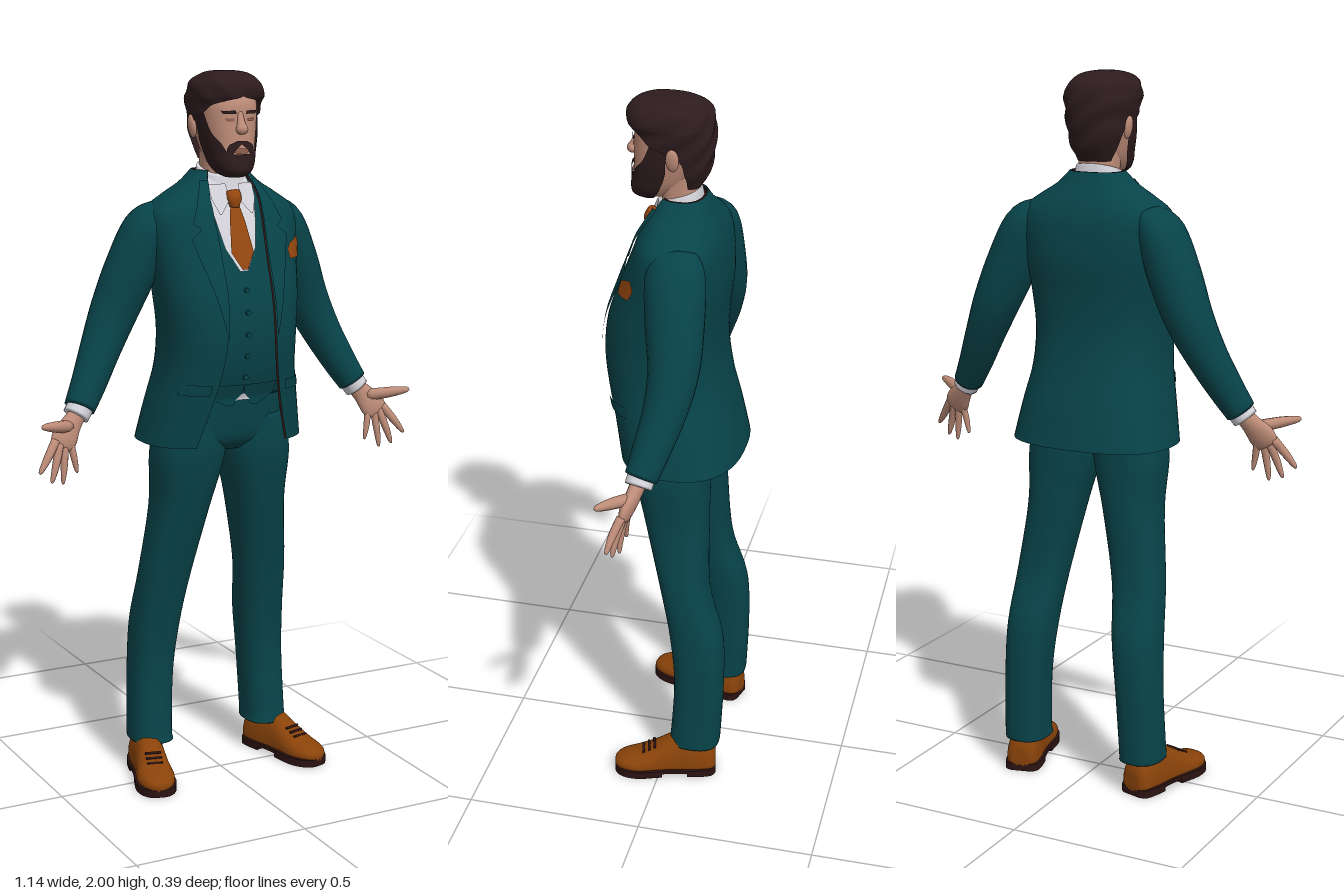
import * as THREE from 'three';

const mat = (name, color) => Object.assign(new THREE.MeshStandardMaterial({ color, side: THREE.DoubleSide }), { name });
const E = 0.8; // squareness of body sections
const TAU = Math.PI * 2;
const pw = (v) => Math.sign(v) * Math.abs(v) ** E;
const V = (x, y, z) => new THREE.Vector3(x, y, z);

// Catmull-Rom through the columns of a small table
function spline(rows, n = 5) {
  const out = [], at = (i) => rows[Math.max(0, Math.min(rows.length - 1, i))];
  for (let i = 0; i < rows.length - 1; i++) for (let k = 0; k < n; k++) {
    const t = k / n, [p, a, b, q] = [at(i - 1), at(i), at(i + 1), at(i + 2)];
    out.push(a.map((v, c) => {
      const cubic = 3 * (v - b[c]) + q[c] - p[c], square = 2 * p[c] - 5 * v + 4 * b[c] - q[c];
      return v + 0.5 * t * (b[c] - p[c] + t * (square + t * cubic));
    }));
  }
  return [...out, at(rows.length - 1)];
}
// Skin over rings of points, closed with caps or open
function loft(rings, closed = true) {
  const n = rings[0].length, pos = rings.flat().flatMap((p) => [p.x, p.y, p.z]), idx = [];
  const m = closed ? n : n - 1;
  for (let i = 0; i < rings.length - 1; i++) for (let j = 0; j < m; j++) {
    const a = i * n + j, b = i * n + (j + 1) % n;
    idx.push(a, b, b + n, a, b + n, a + n);
  }
  if (closed) for (const [i, flip] of [[0, true], [rings.length - 1, false]]) {
    const c = rings[i].reduce((s, p) => s.add(p), V(0, 0, 0)).divideScalar(n), k = pos.length / 3;
    pos.push(c.x, c.y, c.z);
    for (let j = 0; j < n; j++) {
      const a = i * n + j, b = i * n + (j + 1) % n;
      idx.push(...(flip ? [b, a, k] : [a, b, k]));
    }
  }
  const g = new THREE.BufferGeometry().setAttribute('position', new THREE.Float32BufferAttribute(pos, 3)).setIndex(idx);
  g.computeVertexNormals();
  return g;
}
// Horizontal section from a row [y, halfWidth, zFront, zBack, centreX], between two angles
function section([y, rx, zf, zb, cx = 0], a0 = 0, a1 = TAU, closed = true, off = 0, n = 40) {
  return Array.from({ length: n }, (_, j) => {
    const a = a0 + (a1 - a0) * j / (closed ? n : n - 1);
    return V(cx + (rx + off) * pw(Math.sin(a)), y, (zf + zb) / 2 + ((zf - zb) / 2 + off) * pw(Math.cos(a)));
  });
}
const body = (rows) => loft(spline(rows).map((r) => section(r)));
// Shell around a body, open between rows of [.., startDegrees, endDegrees]
const shell = (rows, off = 0) => loft(spline(rows, 4).map((r) => section(r.slice(0, 4), r[4] * TAU / 360, r[5] * TAU / 360, false, off)), false);
// Round limb along a path of rows [x, y, z, radius, depthRadius]
function limb(rows, n = 5, sides = 18) {
  const s = spline(rows, n), P = s.map((r) => V(r[0], r[1], r[2]));
  return loft(s.map((r, i) => {
    const T = P[Math.min(i + 1, P.length - 1)].clone().sub(P[Math.max(i - 1, 0)]).normalize();
    const N = V(0, 0, 1).addScaledVector(T, -T.z).normalize(), B = T.clone().cross(N);
    return Array.from({ length: sides }, (_, j) => {
      const a = j / sides * TAU;
      return P[i].clone().addScaledVector(B, r[3] * Math.sin(a)).addScaledVector(N, r[4] * Math.cos(a));
    });
  }));
}
// Thin panel lying on the front of a body; rows are [y, xLeft, xRight], going up
function panel(surface, rows, off) {
  const S = spline(surface, 8);
  const zAt = (x, y) => {
    const found = S.findIndex((r) => r[0] >= y), i = found < 0 ? S.length - 1 : Math.max(1, found);
    const t = THREE.MathUtils.clamp((y - S[i - 1][0]) / (S[i][0] - S[i - 1][0]), 0, 1);
    const [, rx, zf, zb] = S[i].map((v, c) => S[i - 1][c] + (v - S[i - 1][c]) * t);
    const u = Math.min(0.98, Math.abs(x) / rx);
    return (zf + zb) / 2 + (zf - zb) / 2 * (1 - u ** (2 / E)) ** (E / 2) + off;
  };
  return loft(rows.flatMap((r, i) => Array.from({ length: rows[i + 1] ? 4 : 1 }, (_, k) => {
    const [y, l, h] = r.map((v, c) => v + ((rows[i + 1] ?? r)[c] - v) * k / 4);
    return Array.from({ length: 7 }, (_, j) => { const x = l + (h - l) * j / 6; return V(x, y, zAt(x, y)); });
  })), false);
}
function mirrored(geo) {
  const g = geo.clone().scale(-1, 1, 1);
  const ix = g.index ? Array.from(g.index.array) : Array.from({ length: g.attributes.position.count }, (_, i) => i);
  for (let i = 0; i < ix.length; i += 3) [ix[i], ix[i + 1]] = [ix[i + 1], ix[i]];
  return g.setIndex(ix);
}

export function createModel() {
  const group = new THREE.Group();
  const teal = mat('suit teal', 0x07444a), hair = mat('dark brown hair', 0x2e1c1e), skin = mat('skin', 0xbf8d79);
  const shirt = mat('shirt white', 0xd6d5dc), rust = mat('tie rust', 0x95470f), leather = mat('shoe leather', 0x8a430a);
  const dark = mat('dark lining', 0x2b1312), lip = mat('shaded skin', 0x8f5f50);
  const add = (name, geo, m) => group.add(Object.assign(new THREE.Mesh(geo, m), { name }));
  const both = (name, geo, m) => { add(name + 'Left', geo, m); add(name + 'Right', mirrored(geo), m); };

  // Jacket: shell with an open front, and its lining
  const coat = [[0.99, 0.235, 0.15, -0.19], [1.1, 0.213, 0.168, -0.168], [1.2, 0.192, 0.188, -0.145], [1.3, 0.19, 0.197, -0.13],
    [1.4, 0.2, 0.185, -0.132], [1.5, 0.212, 0.15, -0.141], [1.59, 0.222, 0.115, -0.135], [1.635, 0.208, 0.098, -0.124],
    [1.67, 0.16, 0.08, -0.108], [1.7, 0.112, 0.065, -0.09], [1.735, 0.076, 0.045, -0.072]];
  const opening = [0.14, 0.108, 0.085, 0.073, 0.07, 0.071, 0.075, 0.076, 0.076, 0.068, 0.055];
  const coatRows = coat.map((r, i) => {
    const a = THREE.MathUtils.radToDeg(Math.asin((opening[i] / r[1]) ** (1 / E)));
    return [...r, a, 360 - a];
  });
  add('jacket', shell(coatRows), teal);
  add('jacketLining', shell(coatRows, -0.006), dark);
  both('lapel', panel(coat, [[1.3, 0.073, 0.076], [1.42, 0.07, 0.105], [1.56, 0.072, 0.145], [1.585, 0.073, 0.115],
    [1.6, 0.074, 0.135], [1.66, 0.075, 0.11], [1.71, 0.066, 0.085]], 0.008), teal);
  both('pocketFlap', panel(coat, [[1.14, 0.115, 0.185], [1.17, 0.11, 0.18]], 0.006), teal);
  add('pocketSquare', panel(coat, [[1.495, 0.145, 0.19], [1.52, 0.14, 0.198], [1.535, 0.15, 0.197], [1.55, 0.185, 0.19]], 0.008), rust);

  // Waistcoat with buttons and points
  const vest = [[1.12, 0.17, 0.125, -0.12], [1.2, 0.17, 0.152, -0.12], [1.3, 0.17, 0.165, -0.11], [1.4, 0.178, 0.155, -0.11],
    [1.5, 0.188, 0.125, -0.12], [1.6, 0.185, 0.088, -0.11], [1.66, 0.13, 0.064, -0.09], [1.7, 0.085, 0.05, -0.07], [1.73, 0.065, 0.035, -0.055]];
  add('waistcoat', body(vest), teal);
  both('waistcoatPoint', panel(vest, [[1.1, 0.03, 0.045], [1.125, 0.005, 0.1], [1.16, 0, 0.11]], 0.006), teal);
  [0.15, 0.161, 0.167, 0.166, 0.156].forEach((z, i) => add('waistcoatButton',
    new THREE.CylinderGeometry(0.007, 0.007, 0.008, 12).rotateX(Math.PI / 2).translate(0, 1.18 + i * 0.06, z), teal));
  add('shirtTail', panel(vest, [[1.115, -0.022, 0.022], [1.135, -0.002, 0.002]], 0.008), shirt);

  // Shirt front, collar and tie
  add('shirtFront', panel(vest, [[1.47, -0.012, 0.012], [1.53, -0.046, 0.046], [1.6, -0.06, 0.06], [1.67, -0.07, 0.07], [1.715, -0.06, 0.06]], 0.006), shirt);
  const collar = body([[1.67, 0.08, 0.068, -0.07], [1.7, 0.071, 0.062, -0.064], [1.738, 0.062, 0.054, -0.058]]);
  collar.applyMatrix4(new THREE.Matrix4().set(1, 0, 0, 0, 0, 1, -0.32, 0, 0, 0, 1, 0, 0, 0, 0, 1));
  add('shirtCollar', collar, shirt);
  both('collarWing', panel(vest, [[1.62, 0.045, 0.05], [1.66, 0.012, 0.066], [1.7, 0.02, 0.066]], 0.018), shirt);
  add('tie', panel(vest, [[1.475, -0.008, 0.008], [1.52, -0.034, 0.034], [1.6, -0.023, 0.023], [1.645, -0.013, 0.013]], 0.014), rust);
  add('tieKnot', limb([[0, 1.638, 0.082, 0.013, 0.012], [0, 1.66, 0.083, 0.021, 0.014], [0, 1.68, 0.074, 0.02, 0.012]]), rust);

  // Trousers
  add('trouserSeat', body([[0.965, 0.1, 0.07, -0.08], [1.0, 0.165, 0.1, -0.11], [1.07, 0.175, 0.112, -0.125], [1.15, 0.165, 0.12, -0.115]]), teal);
  both('trouserLeg', body([[0.095, 0.061, -0.015, -0.163, 0.185], [0.13, 0.06, -0.022, -0.166, 0.185], [0.3, 0.062, -0.03, -0.172, 0.178],
    [0.45, 0.068, -0.015, -0.165, 0.167], [0.6, 0.073, 0.015, -0.122, 0.151], [0.8, 0.08, 0.066, -0.112, 0.119],
    [0.95, 0.1, 0.098, -0.11, 0.102], [1.06, 0.088, 0.1, -0.11, 0.09]]), teal);

  // Shoes, turned outward
  const place = (g) => g.rotateY(0.26).translate(0.218, 0, -0.012);
  const shoeRows = [[-0.145, 0.025, 0.07], [-0.13, 0.044, 0.105], [-0.08, 0.049, 0.128], [-0.02, 0.047, 0.118], [0.03, 0.05, 0.09],
    [0.08, 0.054, 0.066], [0.12, 0.045, 0.055], [0.143, 0.027, 0.044], [0.15, 0.01, 0.032]];
  const upper = loft(spline(shoeRows, 4).map(([z, w, h]) => Array.from({ length: 20 }, (_, j) => {
    const a = j / 20 * TAU, c = Math.cos(a);
    return V(-w * pw(Math.sin(a)), 0.03 + (c > 0 ? (h - 0.03) * c : 0.016 * pw(c)), z);
  })));
  both('shoe', place(upper), leather);
  const slab = (rows, depth) => {
    const side = (s) => rows.map(([z, w]) => new THREE.Vector2(s * (w + 0.004), -z));
    return new THREE.ExtrudeGeometry(new THREE.Shape([...side(1), ...side(-1).reverse()]), { depth, bevelEnabled: false }).rotateX(-Math.PI / 2);
  };
  const outline = spline(shoeRows, 3);
  both('shoeSole', place(slab(outline, 0.01).translate(0, 0.012, 0)), dark);
  both('shoeHeel', place(slab(outline.filter((r) => r[0] < -0.05), 0.014)), dark);
  both('shoeBall', place(slab(outline.filter((r) => r[0] > 0), 0.014)), dark);
  for (let i = 0; i < 3; i++) both('shoeLace', place(new THREE.CylinderGeometry(0.004, 0.004, 0.045, 8).rotateZ(Math.PI / 2)
    .translate(0, 0.088 - i * 0.009, 0.034 + i * 0.016)), dark);

  // Sleeves, cuffs and hands
  both('sleeve', limb([[0.165, 1.625, -0.03, 0.035, 0.06], [0.205, 1.578, -0.037, 0.062, 0.08], [0.25, 1.47, -0.047, 0.071, 0.078],
    [0.297, 1.36, -0.055, 0.066, 0.068], [0.345, 1.26, -0.042, 0.056, 0.058], [0.392, 1.17, -0.018, 0.048, 0.05], [0.428, 1.108, 0, 0.042, 0.044]], 5, 24), teal);
  both('shirtCuff', limb([[0.415, 1.125, -0.004, 0.036, 0.038], [0.441, 1.088, 0.004, 0.036, 0.037]]), shirt);
  both('palm', limb([[0.425, 1.105, 0.002, 0.024, 0.022], [0.455, 1.072, 0.012, 0.029, 0.02], [0.48, 1.04, 0.024, 0.038, 0.018],
    [0.493, 1.017, 0.03, 0.034, 0.013], [0.497, 1.01, 0.032, 0.02, 0.006]]), skin);
  const finger = (base, tip, r) => limb([[0, 1], [0.5, 0.9], [0.9, 0.55], [1, 0.2]].map(([k, w]) => {
    const q = V(...base).lerp(V(...tip), k);
    return [q.x, q.y, q.z + 0.012 * k * (1 - k), r * w, r * w];
  }), 3, 10);
  [[[0.512, 1.032, 0.032], [0.57, 0.952, 0.058]], [[0.5, 1.022, 0.032], [0.533, 0.922, 0.052]], [[0.485, 1.018, 0.03], [0.497, 0.913, 0.042]],
    [[0.468, 1.025, 0.026], [0.452, 0.938, 0.034]]].forEach(([b, t], i) => both('finger', finger(b, t, 0.0125 - i * 0.0008), skin));
  both('thumb', finger([0.468, 1.065, 0.02], [0.57, 1.085, 0.085], 0.017), skin);

  // Neck, head and face
  add('neck', body([[1.66, 0.058, 0.045, -0.06], [1.72, 0.054, 0.045, -0.056], [1.8, 0.056, 0.06, -0.055]]), skin);
  const head = [[1.725, 0.022, 0.105, 0.04], [1.735, 0.042, 0.118, 0.01], [1.77, 0.06, 0.122, -0.03], [1.82, 0.071, 0.12, -0.06],
    [1.87, 0.078, 0.118, -0.075], [1.92, 0.079, 0.114, -0.08], [1.965, 0.062, 0.085, -0.06], [1.985, 0.02, 0.04, -0.02]];
  add('head', body(head), skin);
  add('nose', limb([[0, 1.893, 0.112, 0.008, 0.006], [0, 1.865, 0.121, 0.011, 0.01], [0, 1.847, 0.126, 0.017, 0.016], [0, 1.837, 0.122, 0.011, 0.006]]), skin);
  both('ear', new THREE.SphereGeometry(1, 14, 10).scale(0.01, 0.032, 0.018).rotateZ(-0.15).translate(0.086, 1.852, 0), skin);
  both('eyebrow', panel(head, [[1.888, 0.014, 0.048], [1.897, 0.016, 0.054]], 0.005), hair);
  both('eye', panel(head, [[1.869, 0.02, 0.04], [1.877, 0.018, 0.044]], 0.003), lip);
  add('mouth', panel(head, [[1.783, -0.014, 0.014], [1.79, -0.024, 0.024], [1.797, -0.018, 0.018]], 0.005), lip);

  // Beard, whiskers and moustache
  add('beard', shell([[1.719, 0.02, 0.102, 0.05, -95, 95], [1.732, 0.042, 0.122, 0.01, -95, 95], [1.755, 0.056, 0.125, -0.018, -95, 95],
    [1.782, 0.063, 0.122, -0.036, -95, 95]], 0.004), hair);
  both('whiskers', shell([[1.778, 0.062, 0.122, -0.035, 28, 95], [1.81, 0.07, 0.121, -0.055, 40, 94], [1.84, 0.075, 0.12, -0.067, 60, 92],
    [1.89, 0.08, 0.117, -0.077, 72, 95]], 0.004), hair);
  both('moustache', panel(head, [[1.775, 0.031, 0.042], [1.797, 0.014, 0.04], [1.808, 0, 0.034], [1.817, 0, 0.014]], 0.006), hair);

  // Hair, slightly wavy and swept up at the front
  const hairGeo = shell([[1.762, 0.058, 0.07, -0.06, 122, 238], [1.8, 0.075, 0.1, -0.08, 112, 248], [1.85, 0.086, 0.12, -0.091, 103, 257],
    [1.885, 0.091, 0.125, -0.094, 72, 288], [1.912, 0.094, 0.127, -0.094, 48, 312], [1.925, 0.096, 0.131, -0.093, 18, 342],
    [1.935, 0.096, 0.135, -0.092, 0, 360], [1.965, 0.089, 0.134, -0.083, 0, 360], [1.988, 0.065, 0.112, -0.055, 0, 360],
    [1.998, 0.035, 0.075, -0.02, 0, 360], [2.0, 0.001, 0.03, 0.028, 0, 360]]);
  const hp = hairGeo.attributes.position;
  for (let i = 0; i < hp.count; i++) {
    const x = hp.getX(i), y = hp.getY(i), z = hp.getZ(i), w = 1 + 0.025 * Math.sin(70 * x + 40 * z + 90 * y);
    hp.setXYZ(i, x * w, y, 0.02 + (z - 0.02) * w);
  }
  hairGeo.computeVertexNormals();
  add('hair', hairGeo, hair);
  return group;
}
